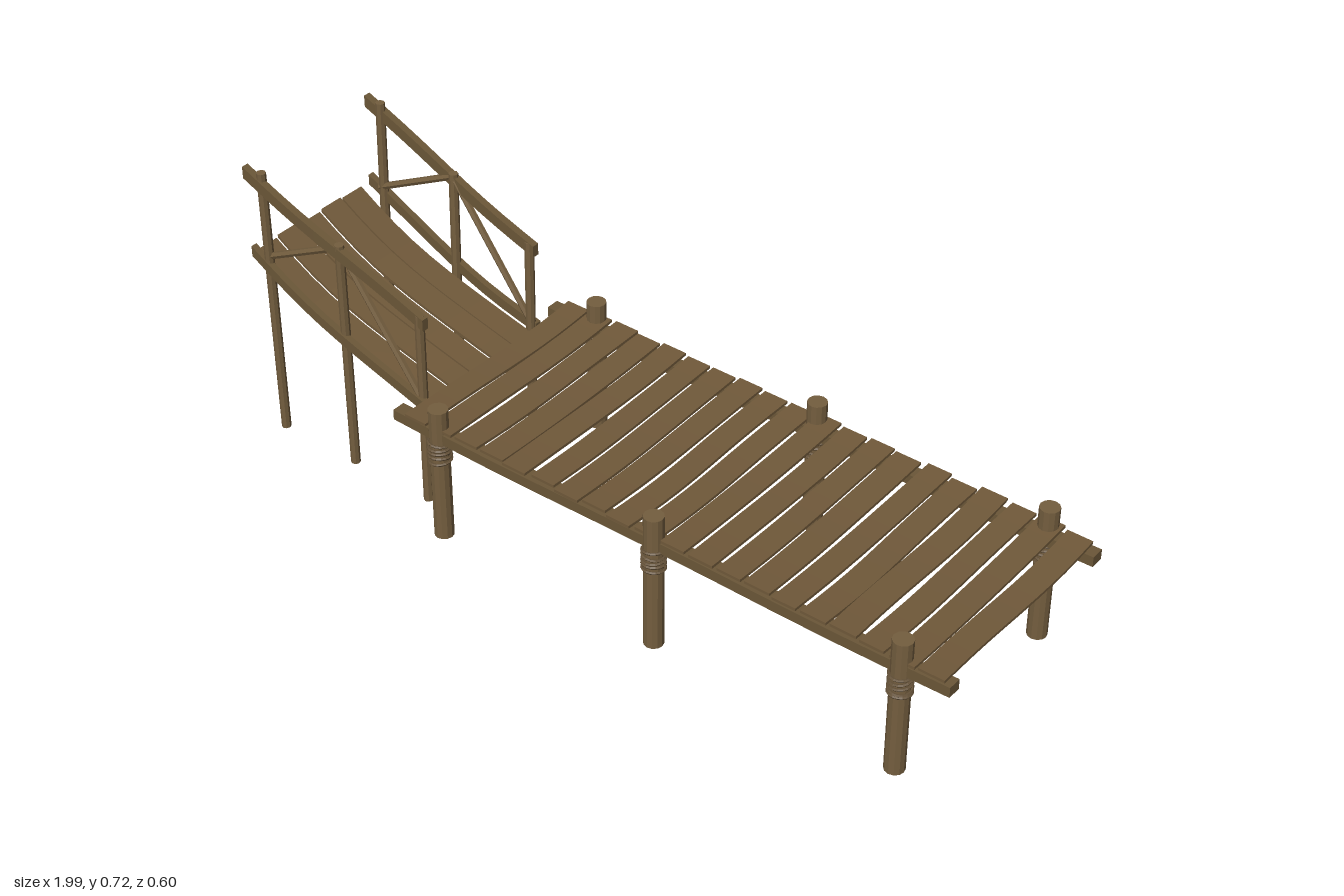
import * as THREE from 'three';

const wood = (c) => new THREE.MeshStandardMaterial({ color: c, flatShading: true });
const plankMat = wood(0x70593a), beamMat = wood(0x6b5738), postMat = wood(0x745e3f), ropeMat = wood(0x66533a);

// small seeded jitter in -1..1
let seed = 7;
const jitter = () => {
  seed = (seed * 16807) % 2147483647;
  return (seed / 2147483647) * 2 - 1;
};

export function createModel() {
  const model = new THREE.Group();
  const group = (name) => {
    const g = new THREE.Group();
    g.name = name;
    model.add(g);
    return g;
  };
  const add = (parent, name, geo, mat) => {
    const m = new THREE.Mesh(geo, mat);
    m.name = name;
    parent.add(m);
    return m;
  };

  // board running along x or z, split along its length and bent by a rule on t = 0..1
  const board = (size, axis, bend) => {
    const n = 10;
    const g = new THREE.BoxGeometry(...size, axis === 'x' ? n : 1, 1, axis === 'z' ? n : 1);
    const p = g.attributes.position, v = new THREE.Vector3();
    const len = axis === 'x' ? size[0] : size[2];
    for (let i = 0; i < p.count; i++) {
      v.fromBufferAttribute(p, i);
      bend(v, v[axis] / len + 0.5);
      p.setXYZ(i, v.x, v.y, v.z);
    }
    g.computeVertexNormals();
    return g;
  };

  // straight round stick between two points
  const stick = (parent, name, a, b, r, sides = 8) => {
    const d = b.clone().sub(a);
    const m = add(parent, name, new THREE.CylinderGeometry(r, r, d.length(), sides), postMat);
    m.position.copy(a).add(b).multiplyScalar(0.5);
    m.quaternion.setFromUnitVectors(new THREE.Vector3(0, 1, 0), d.normalize());
  };
  const V = (x, y, z) => new THREE.Vector3(x, y, z);

  // deck planks, laid across with slightly dished middles
  const deck = group('deckPlanks');
  for (let i = 0; i < 20; i++) {
    const dy = (i % 3 === 1 ? 0.003 : 0) + jitter() * 0.001;
    const sway = jitter() * 0.004, tilt = jitter() * 0.004;
    const wide = 0.063 + jitter() * 0.003;
    const x = -0.44 + i * 0.0725;
    const geo = board([wide, 0.007, 0.567 + jitter() * 0.008], 'z', (v, t) => {
      v.x += Math.sin(t * Math.PI * 2) * sway + (t - 0.5) * tilt;
      v.y += (t - 0.5) ** 2 * 0.028 - 0.003;
    });
    add(deck, 'deckPlank', geo, plankMat).position.set(x, 0.296 + dy, -0.004 + jitter() * 0.004);
  }

  // long side beams under the deck
  const beams = group('deckBeams');
  for (const s of [1, -1]) {
    const geo = board([1.49, 0.026, 0.034], 'x', (v, t) => {
      v.y -= Math.sin(t * Math.PI) * 0.006;
      v.z += Math.sin(t * Math.PI * 3) * 0.003;
    });
    add(beams, 'deckBeam', geo, beamMat).position.set(s > 0 ? 0.237 : 0.248, 0.283, s * 0.263);
  }

  // piles with rope lashings
  const piles = group('piles');
  const pileSpots = [
    [-0.38, 0.27], [0.227, 0.27], [0.86, 0.27],
    [-0.37, -0.272], [0.262, -0.272], [0.865, -0.272],
  ];
  for (const [x, z] of pileSpots) {
    stick(piles, 'pile', V(x, 0, z), V(x, 0.352, z), 0.0235, 12);
    for (let k = 0; k < 5; k++) {
      const ring = add(piles, 'ropeRing', new THREE.TorusGeometry(0.0255, 0.0036, 5, 16), ropeMat);
      ring.position.set(x, 0.213 + k * 0.0125, z);
      ring.rotation.set(Math.PI / 2 + jitter() * 0.13, jitter() * 0.13, 0);
    }
  }

  // sloping ramp: height at t along it, with a slight sag
  const rampX = (t) => -0.99 + t * 0.515;
  const rampY = (t) => 0.492 - 0.21 * t - 0.022 * Math.sin(t * Math.PI);

  const ramp = group('rampPlanks');
  for (let i = 0; i < 5; i++) {
    const z = 0.157 - i * 0.0715;
    const end = jitter() * 0.008;
    const lift = i % 2 ? 0.004 : 0;
    const geo = board([0.525, 0.008, 0.065], 'x', (v, t) => {
      v.x += end * 0.5 + 0.003;
      v.y += rampY(t) - 0.013 + lift - 0.012 * Math.sin(t * Math.PI);
      v.z += z + Math.sin(t * Math.PI * 2 + 0.4) * 0.005 - (t - 0.5) * 0.012;
    });
    add(ramp, 'rampPlank', geo, plankMat).position.x = -0.735;
  }

  // ramp side frames: stringer, handrail, posts and braces
  for (const s of [1, -1]) {
    const side = group(s > 0 ? 'leftRampFrame' : 'rightRampFrame');
    const z = s > 0 ? 0.199 : -0.175;
    const out = z + s * 0.01;

    const stringer = board([0.515, 0.027, 0.016], 'x', (v, t) => {
      v.y += rampY(t);
      v.z += out + s * Math.sin(t * Math.PI * 2) * 0.003;
    });
    add(side, 'stringer', stringer, beamMat).position.x = -0.7325;

    const rail = board([0.52, 0.03, 0.018], 'x', (v, t) => {
      v.y += 0.706 - 0.204 * t - 0.006 * Math.sin(t * Math.PI);
      v.z += out + s * (0.004 - 0.012 * t + Math.sin(t * Math.PI * 2) * 0.003);
    });
    add(side, 'handrail', rail, beamMat).position.x = -0.73;

    for (const [x, top] of [[-0.948, 0.717], [-0.722, 0.613], [-0.492, 0.52]]) {
      const lean = (top - 0.5) * 0.045;
      stick(side, 'rampPost', V(x, 0, z), V(x + 0.004, top, z + s * lean), 0.0115);
    }
    stick(side, 'shortBrace', V(-0.955, 0.485, z + s * 0.004), V(-0.725, 0.602, z + s * 0.004), 0.0085, 6);
    stick(side, 'longBrace', V(-0.715, 0.6, z + s * 0.004), V(-0.497, 0.3, z + s * 0.004), 0.0085, 6);
  }

  return model;
}
